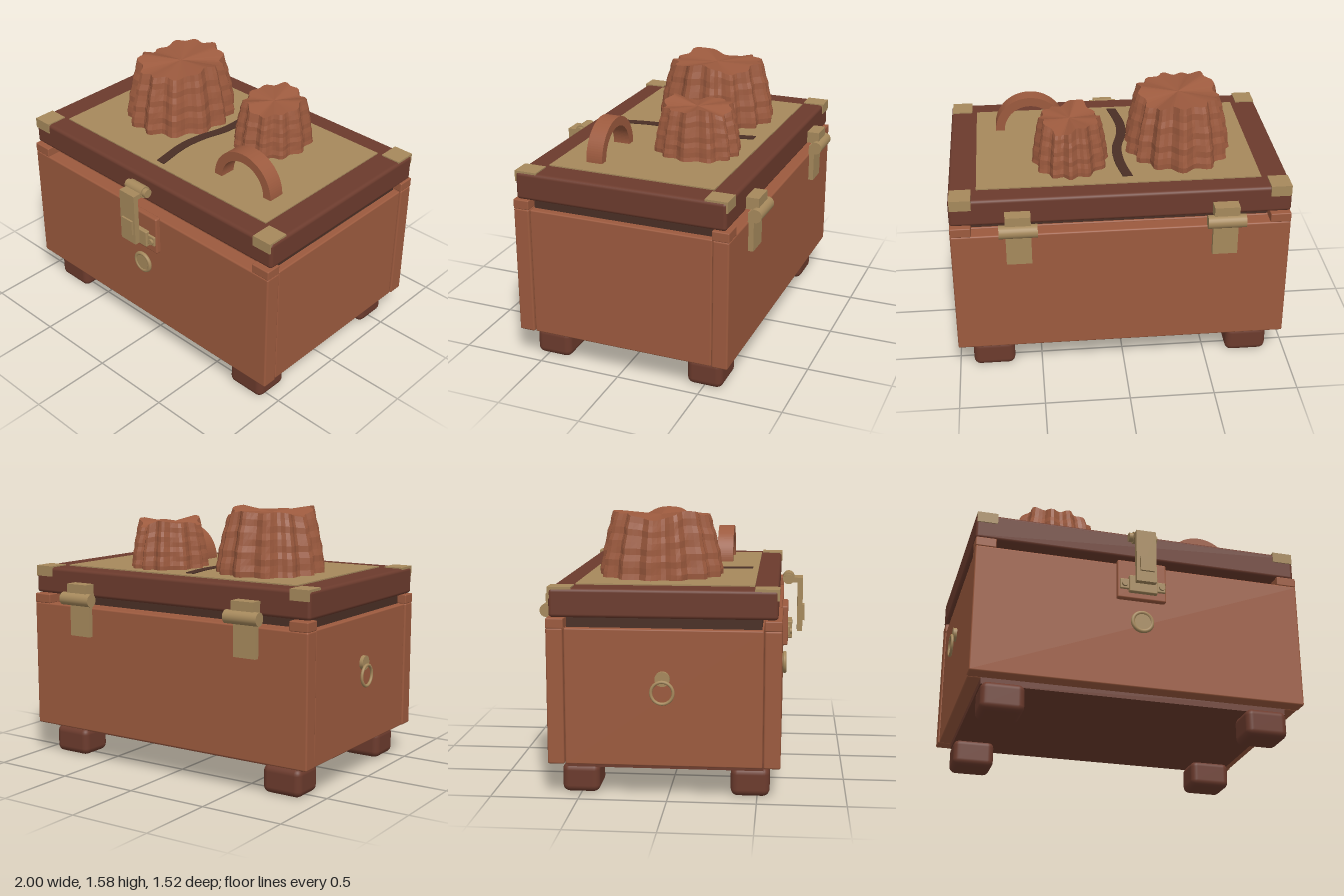
import * as THREE from 'three';
import { RoundedBoxGeometry } from 'three/addons/geometries/RoundedBoxGeometry.js';

const mat = (name, color, side = THREE.FrontSide) => {
  const m = new THREE.MeshStandardMaterial({ color, side });
  m.name = name;
  return m;
};

export function createModel() {
  const root = new THREE.Group();
  root.name = 'chest';
  const wood = mat('warmWood', 0x9c5a3e);
  const dark = mat('darkWood', 0x6c3b2d);
  const brass = mat('brass', 0xa6895c);
  const shade = mat('deepBrown', 0x4a2f25);
  const MX = 0.0175; // middle of the chest in x

  const add = (name, geo, m, parent = root) => {
    const mesh = new THREE.Mesh(geo, m);
    mesh.name = name;
    parent.add(mesh);
    return mesh;
  };
  // Box given by its min and max on each axis, rounded when r > 0
  const box = (name, m, [x0, x1], [y0, y1], [z0, z1], r = 0) => {
    const s = [x1 - x0, y1 - y0, z1 - z0];
    const mesh = add(name, r ? new RoundedBoxGeometry(...s, 3, r) : new THREE.BoxGeometry(...s), m);
    mesh.position.set((x0 + x1) / 2, (y0 + y1) / 2, (z0 + z1) / 2);
    return mesh;
  };
  // Cylinder along x, y or z
  const rod = (name, m, axis, r, len, x, y, z) => {
    const geo = new THREE.CylinderGeometry(r, r, len, 24);
    if (axis === 'x') geo.rotateZ(Math.PI / 2);
    if (axis === 'z') geo.rotateX(Math.PI / 2);
    const mesh = add(name, geo, m);
    mesh.position.set(x, y, z);
    return mesh;
  };

  // Feet and base
  for (const [x0, x1] of [[-0.885, -0.635], [0.665, 0.915]])
    for (const [z0, z1] of [[0.35, 0.57], [-0.61, -0.395]])
      box('foot', dark, [x0, x1], [0, 0.168], [z0, z1], 0.04);
  box('base', dark, [-0.885, 0.915], [0.155, 0.2], [-0.578, 0.535]);

  // Body: core between a front and a back panel
  box('bodyCore', wood, [-0.958, 0.993], [0.19, 0.965], [-0.575, 0.53], 0.008);
  box('frontPanel', wood, [-0.965, 1], [0.19, 0.965], [0.535, 0.63], 0.01);
  box('backPanel', wood, [-0.965, 1], [0.19, 0.965], [-0.675, -0.58], 0.01);
  box('innerBox', shade, [-0.915, 0.95], [0.94, 1.02], [-0.565, 0.52]);
  for (const [x0, x1] of [[-0.965, -0.845], [0.88, 1]])
    for (const [z0, z1] of [[0.535, 0.63], [-0.675, -0.575]])
      box('cornerBlock', wood, [x0, x1], [0.963, 1.02], [z0, z1], 0.006);

  // Lid with inset panel and corner caps
  box('lid', dark, [-0.965, 1], [1.025, 1.187], [-0.657, 0.608], 0.02);
  box('lidPanel', brass, [-0.805, 0.84], [1.187, 1.194], [-0.53, 0.475]);
  for (const [x0, x1] of [[-0.96, -0.84], [0.87, 0.993]])
    for (const [z0, z1] of [[0.48, 0.614], [-0.663, -0.53]])
      box('lidCornerCap', brass, [x0, x1], [1.13, 1.194], [z0, z1]);

  // Wavy crack on the lid panel
  const path = new THREE.CatmullRomCurve3([
    [-0.035, -0.46], [-0.005, -0.28], [-0.005, -0.1], [-0.045, 0.07], [-0.055, 0.22], [-0.02, 0.44],
  ].map(([x, z]) => new THREE.Vector3(x, 0, z))).getPoints(30);
  const strip = new THREE.Shape([
    ...path.map((p) => new THREE.Vector2(p.x - 0.029, -p.z)),
    ...path.slice().reverse().map((p) => new THREE.Vector2(p.x + 0.029, -p.z)),
  ]);
  const crack = add('crack', new THREE.ExtrudeGeometry(strip, { depth: 0.005, bevelEnabled: false }), shade);
  crack.rotation.x = -Math.PI / 2;
  crack.position.y = 1.194;

  // Fluted, tapering stump: stacked lobed rings and an uneven cap
  const stump = (name, cx, cz, rx, rz, top, lobes, taper, seed) => {
    const n = lobes * 6, rows = 10, y0 = 1.19, pos = [], idx = [];
    for (let j = 0; j <= rows; j++) {
      const t = j / rows;
      for (let i = 0; i < n; i++) {
        const a = (i / n) * Math.PI * 2;
        const wobble = 0.3 * Math.sin(2 * a + seed) + 0.25 * Math.sin(3 * a + 2 * seed);
        const flute = 0.065 * Math.cos(lobes * a + Math.PI / 2 * lobes + wobble * 1.6);
        const layer = 0.01 * Math.sin(j * 2.3 + 2 * Math.sin(a * 2 + seed));
        const k = (0.925 + flute + layer + 0.025 * wobble) * (1 - taper * t ** 1.4);
        const rim = 0.016 * Math.sin(3 * a + seed) + 0.012 * Math.sin(5 * a + 2 * seed);
        pos.push(cx + rx * k * Math.cos(a), y0 + t * (top - 0.02 - y0 + rim * t), cz + rz * k * Math.sin(a));
      }
    }
    for (let j = 0; j < rows; j++)
      for (let i = 0; i < n; i++) {
        const a = j * n + i, b = j * n + (i + 1) % n;
        idx.push(a, a + n, b, b, a + n, b + n);
      }
    const c = pos.length / 3;
    pos.push(cx, top - 0.025, cz);
    for (let i = 0; i < n; i++) idx.push(c, rows * n + (i + 1) % n, rows * n + i);
    let geo = new THREE.BufferGeometry();
    geo.setAttribute('position', new THREE.Float32BufferAttribute(pos, 3));
    geo.setIndex(idx);
    geo = geo.toNonIndexed();
    geo.computeVertexNormals();
    add(name, geo, wood);
  };
  stump('largeStump', -0.37, -0.09, 0.32, 0.377, 1.575, 13, 0.22, 0.8);
  stump('smallStump', 0.285, -0.215, 0.228, 0.268, 1.49, 12, 0.2, 2.1);

  // Arch on the lid
  const arch = new THREE.Shape();
  arch.absarc(0, 0, 0.215, 0, Math.PI, false);
  arch.absarc(0, 0, 0.16, Math.PI, 0, true);
  add('arch', new THREE.ExtrudeGeometry(arch, { depth: 0.1, bevelEnabled: false, curveSegments: 24 }), wood)
    .position.set(0.505, 1.193, 0.2);

  // Front latch
  box('latchPlate', wood, [-0.135, 0.16], [0.73, 0.975], [0.62, 0.66], 0.01);
  box('latchStaple', brass, [-0.07, 0.1], [0.765, 0.87], [0.655, 0.686], 0.006);
  box('latchEars', brass, [-0.122, 0.152], [0.785, 0.85], [0.655, 0.672], 0.006);
  for (const s of [-1, 1]) rod('latchScrew', brass, 'z', 0.018, 0.03, MX + s * 0.112, 0.815, 0.67);
  box('latchStrap', brass, [-0.045, 0.075], [0.805, 1.135], [0.715, 0.748]);
  box('latchArm', brass, [-0.045, 0.075], [1.108, 1.138], [0.65, 0.748]);
  box('latchButton', brass, [-0.025, 0.06], [0.87, 0.965], [0.745, 0.76]);
  rod('latchPin', brass, 'x', 0.027, 0.17, MX, 1.133, 0.66);
  rod('latchBarrel', brass, 'x', 0.036, 0.12, MX, 1.133, 0.66);

  // Round lock
  rod('lock', brass, 'z', 0.055, 0.03, MX, 0.595, 0.635);
  add('lockRim', new THREE.TorusGeometry(0.058, 0.012, 10, 32), brass).position.set(MX, 0.595, 0.643);

  // Back hinges
  for (const x of [-0.578, 0.612]) {
    rod('hingeBarrel', brass, 'x', 0.039, 0.22, x, 1.018, -0.724);
    box('hingeUpperLeaf', brass, [x - 0.073, x + 0.073], [1.04, 1.11], [-0.733, -0.65]);
    box('hingeLowerLeaf', brass, [x - 0.073, x + 0.073], [0.788, 1.018], [-0.706, -0.67]);
  }

  // Pull ring on the right side
  rod('ringKnob', brass, 'x', 0.042, 0.022, -0.973, 0.692, -0.025);
  const ring = add('pullRing', new THREE.TorusGeometry(0.062, 0.009, 10, 32), brass);
  ring.rotation.y = Math.PI / 2;
  ring.position.set(-0.991, 0.617, -0.025);

  return root;
}
